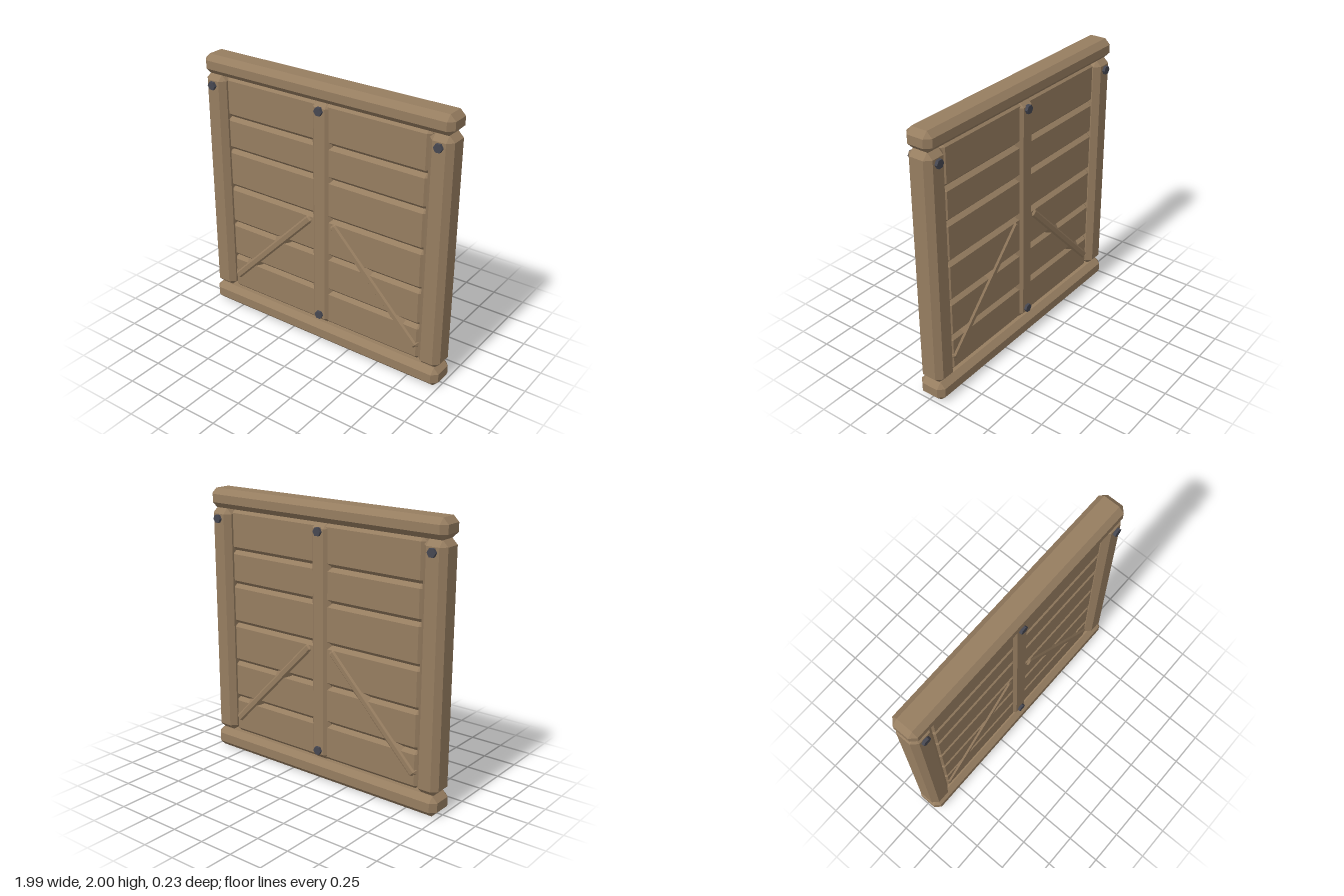
import * as THREE from 'three';
import { ConvexGeometry } from 'three/addons/geometries/ConvexGeometry.js';

// Beam with every edge cut at 45 degrees and a small triangle at each corner
function beamGeometry(w, h, d, c) {
  const half = [w / 2, h / 2, d / 2];
  const points = [];
  for (const sx of [-1, 1]) for (const sy of [-1, 1]) for (const sz of [-1, 1]) {
    for (let axis = 0; axis < 3; axis++) {
      const p = half.map((v, i) => (i === axis ? v : v - c));
      points.push(new THREE.Vector3(p[0] * sx, p[1] * sy, p[2] * sz));
    }
  }
  return new ConvexGeometry(points);
}

export function createModel() {
  const wood = new THREE.MeshStandardMaterial({ color: 0x967d60 });
  wood.name = 'wood';
  wood.flatShading = true;
  const iron = new THREE.MeshStandardMaterial({ color: 0x464751 });
  iron.name = 'iron';
  iron.flatShading = true;

  const group = new THREE.Group();
  group.name = 'woodenWall';

  const addBeam = (name, x0, x1, y0, y1, depth, chamfer) => {
    const mesh = new THREE.Mesh(beamGeometry(x1 - x0, y1 - y0, depth, chamfer), wood);
    mesh.position.set((x0 + x1) / 2, (y0 + y1) / 2, 0);
    mesh.name = name;
    group.add(mesh);
    return mesh;
  };

  // Frame: rails above and below, posts between them
  addBeam('topRail', -0.995, 0.995, 1.86, 2, 0.2, 0.04);
  addBeam('bottomRail', -0.995, 0.995, 0, 0.147, 0.208, 0.04);
  addBeam('leftPost', 0.82, 0.995, 0.147, 1.86, 0.188, 0.04);
  addBeam('rightPost', -0.995, -0.82, 0.147, 1.86, 0.188, 0.04);
  addBeam('centrePost', -0.083, 0.083, 0.147, 1.86, 0.156, 0.04);

  // Horizontal planks filling the frame
  const seams = [0.147, 0.425, 0.71, 1.01, 1.31, 1.56, 1.86];
  for (let i = 0; i < seams.length - 1; i++) {
    addBeam(`plank${i + 1}`, -0.828, 0.828, seams[i], seams[i + 1], 0.116, 0.027);
  }

  // Diagonal braces, sunk through the planks
  for (const side of [-1, 1]) {
    const brace = addBeam(side > 0 ? 'leftBrace' : 'rightBrace', -0.525, 0.525, -0.05, 0.05, 0.14, 0.034);
    brace.position.set(side * 0.445, 0.612, 0);
    brace.rotation.z = -side * Math.atan2(0.73, 0.71);
  }

  // Hexagonal bolt heads on both faces
  const boltGeometry = new THREE.CylinderGeometry(0.032, 0.032, 0.04, 6);
  boltGeometry.rotateY(Math.PI / 6).rotateX(Math.PI / 2);
  const bolts = [[-0.91, 1.785, 0.095], [0.91, 1.785, 0.095], [0, 1.8, 0.078], [0, 0.217, 0.078]];
  for (const [x, y, z] of bolts) {
    for (const face of [-1, 1]) {
      const bolt = new THREE.Mesh(boltGeometry, iron);
      bolt.position.set(x, y, face * z);
      bolt.name = 'bolt';
      group.add(bolt);
    }
  }
  return group;
}
